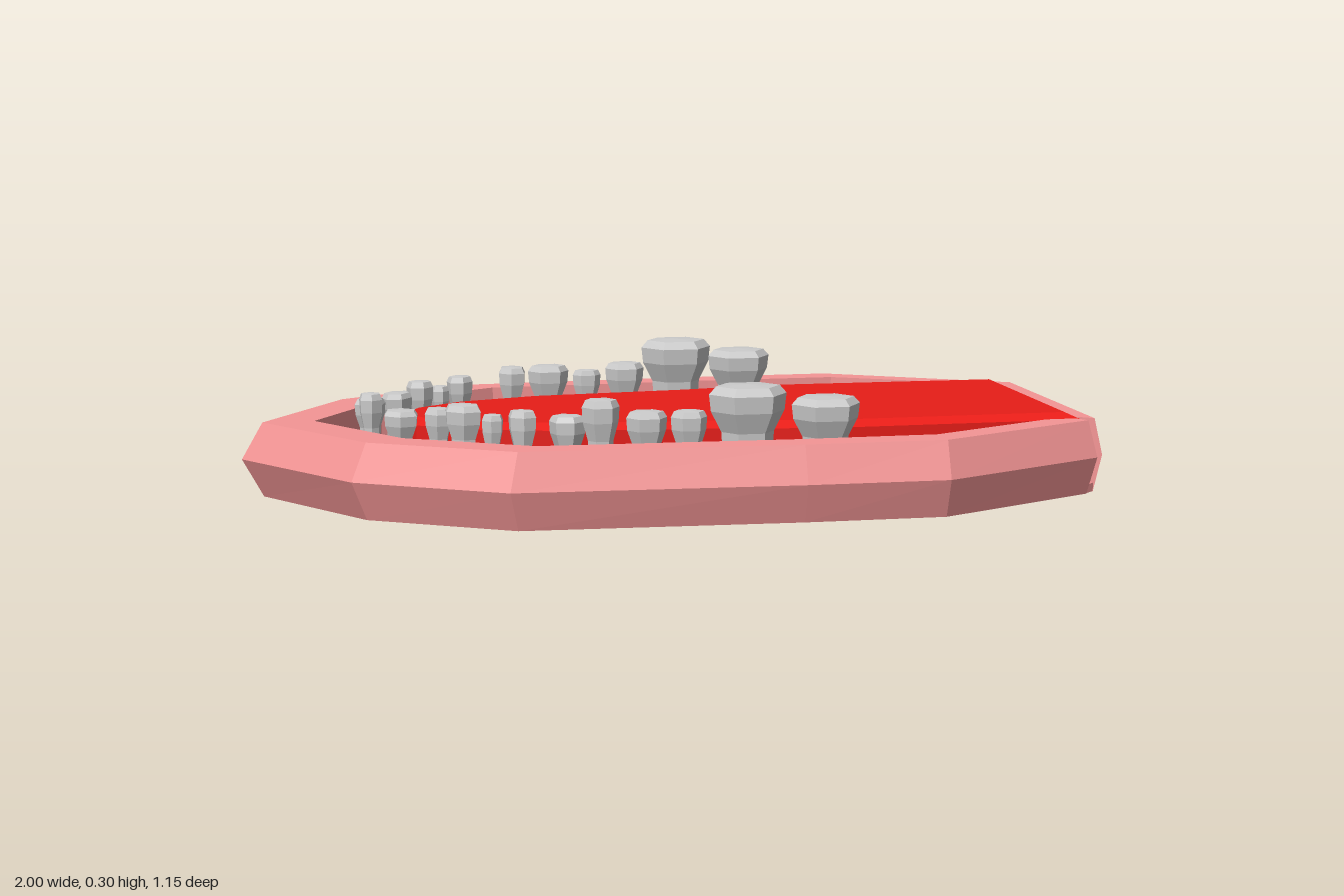
import * as THREE from 'three';

const mat = (color, extra = {}) => new THREE.MeshStandardMaterial({ color, flatShading: true, ...extra });
const add = (group, name, geometry, material) => {
  const mesh = new THREE.Mesh(geometry, material);
  mesh.name = name;
  group.add(mesh);
  return mesh;
};

// Plan points [x, z] become a shape that is laid flat
const toVectors = (pts) => pts.map(([x, z]) => new THREE.Vector2(x, -z));
const slab = (pts, y, height, hole, bevel) => {
  const shape = new THREE.Shape(toVectors(pts));
  if (hole) shape.holes.push(new THREE.Path(toVectors(hole)));
  const options = bevel
    ? { depth: height - bevel, bevelEnabled: true, bevelThickness: bevel, bevelSize: 0.03, bevelOffset: -0.03, bevelSegments: 1 }
    : { depth: height, bevelEnabled: false };
  return new THREE.ExtrudeGeometry(shape, options).rotateX(-Math.PI / 2).translate(0, y, 0);
};

// Loft of cross-sections with capped ends
function loft(sections) {
  const n = sections[0].length;
  const index = [];
  for (let i = 0; i < sections.length - 1; i++) {
    for (let j = 0; j < n; j++) {
      const a = i * n + j, b = i * n + (j + 1) % n;
      index.push(a, b, a + n, b, b + n, a + n);
    }
  }
  const last = (sections.length - 1) * n;
  for (let j = 1; j < n - 1; j++) {
    index.push(0, j + 1, j, last, last + j, last + j + 1);
  }
  const geometry = new THREE.BufferGeometry();
  geometry.setAttribute('position', new THREE.Float32BufferAttribute(sections.flat(2), 3));
  geometry.setIndex(index);
  geometry.computeVertexNormals();
  return geometry;
}

export function createModel() {
  const model = new THREE.Group();
  model.name = 'lowerJaw';
  const pink = mat(0xf59696, { side: THREE.DoubleSide });
  const darkRed = mat(0x6e1c20);
  const red = mat(0xe81d18);
  const grey = mat(0xcccccc);

  // Rim: widest line and inner edge, from the front corner round the tip to the end wall
  const outer = [
    [0.975, 0.36], [0.55, 0.575], [0.22, 0.575], [-0.44, 0.547], [-0.77, 0.35], [-1, 0],
    [-0.78, -0.35], [-0.44, -0.55], [0.22, -0.58], [0.55, -0.58], [1, -0.31], [1, 0.325],
  ];
  const inner = [
    [0.92, 0.28], [0.55, 0.465], [0.22, 0.47], [-0.37, 0.45], [-0.65, 0.285], [-0.83, 0],
    [-0.65, -0.29], [-0.35, -0.46], [0.22, -0.48], [0.55, -0.48], [0.94, -0.27], [0.945, 0.28],
  ];
  const edge = outer.map(([x, z], i) => [
    x + (inner[i][0] - x) * 0.29, z + (inner[i][1] - z) * 0.29,
  ]);
  add(model, 'jawRim', loft(outer.map(([x, z], i) => [
    [edge[i][0], 0, edge[i][1]],
    [x, 0.09, z],
    [edge[i][0], 0.176, edge[i][1]],
    [inner[i][0], 0.176, inner[i][1]],
    [inner[i][0], 0, inner[i][1]],
  ])), pink);
  add(model, 'jawBase', slab(edge, 0.001, 0.02), pink);

  // Mouth floor and the stepped gum, open towards the throat
  const floorPts = inner.map(([x, z]) => [Math.min(x, 0.72), z * 0.97]);
  add(model, 'mouthFloor', slab(floorPts, 0.02, 0.03), darkRed);
  const side = inner.slice(1, 10);
  [[0.97, 0.84, 0.07], [0.92, 0.79, 0.1]].forEach(([outside, inside, top], i) => {
    const ring = [
      ...side.map(([x, z]) => [x * outside, z * outside]),
      ...side.map(([x, z]) => [x * inside, z * inside]).reverse(),
    ];
    add(model, `gumStep${i + 1}`, slab(ring, 0.03, top - 0.03), darkRed);
  });

  // Tongue with a bevelled upper edge
  const half = [[0.95, 0.31], [0.32, 0.32], [0.1, 0.28], [-0.28, 0.245], [-0.48, 0.185], [-0.6, 0.1]];
  const tonguePts = [...half, [-0.65, 0], ...half.map(([x, z]) => [x, -z]).reverse()];
  add(model, 'tongue', slab(tonguePts, 0.05, 0.138, null, 0.014), red);

  // Teeth: x, z, half width, half depth, top, turn
  const teeth = [
    [0.285, -0.415, 0.08, 0.062, 0.268, 0], [0.12, -0.418, 0.09, 0.066, 0.297, 0],
    [-0.015, -0.415, 0.05, 0.037, 0.24, 0], [-0.115, -0.405, 0.036, 0.022, 0.225, 0],
    [-0.215, -0.4, 0.052, 0.037, 0.24, 0], [-0.31, -0.385, 0.036, 0.036, 0.24, 0.3],
    [-0.455, -0.28, 0.037, 0.027, 0.235, 0.8], [-0.51, -0.225, 0.024, 0.02, 0.22, 0.8],
    [-0.565, -0.165, 0.036, 0.028, 0.242, 0.8], [-0.625, -0.12, 0.045, 0.03, 0.222, 0.9],
    [-0.695, -0.05, 0.042, 0.034, 0.22, 1.3], [-0.7, 0.035, 0.03, 0.026, 0.245, 1.6],
    [-0.635, 0.095, 0.045, 0.036, 0.212, -0.7], [-0.555, 0.165, 0.036, 0.028, 0.225, -0.8],
    [-0.505, 0.23, 0.048, 0.034, 0.242, -0.7], [-0.445, 0.285, 0.027, 0.022, 0.225, -0.8],
    [-0.385, 0.345, 0.035, 0.026, 0.242, -0.6], [-0.285, 0.36, 0.042, 0.034, 0.23, -0.3],
    [-0.215, 0.395, 0.043, 0.036, 0.27, 0], [-0.11, 0.395, 0.047, 0.036, 0.24, 0],
    [-0.015, 0.405, 0.042, 0.032, 0.24, 0], [0.12, 0.408, 0.09, 0.064, 0.295, 0],
    [0.3, 0.415, 0.08, 0.06, 0.265, 0],
  ];
  // Narrow neck, flared crown, chamfered flat top
  const profile = [[0, 0], [0.6, 0], [0.68, 0.5], [0.95, 0.72], [1, 0.9], [0.82, 0.985], [0, 1]]
    .map(([r, y]) => new THREE.Vector2(r, y));
  const toothGeometry = new THREE.LatheGeometry(profile, 6).rotateY(Math.PI / 2);
  const toothRow = new THREE.Group();
  toothRow.name = 'teeth';
  model.add(toothRow);
  teeth.forEach(([x, z, w, d, top, turn], i) => {
    const tooth = add(toothRow, `tooth${i + 1}`, toothGeometry, grey);
    tooth.position.set(x, 0.08, z);
    tooth.scale.set(w, top - 0.08, d * 1.12);
    tooth.rotation.y = turn;
  });

  return model;
}
